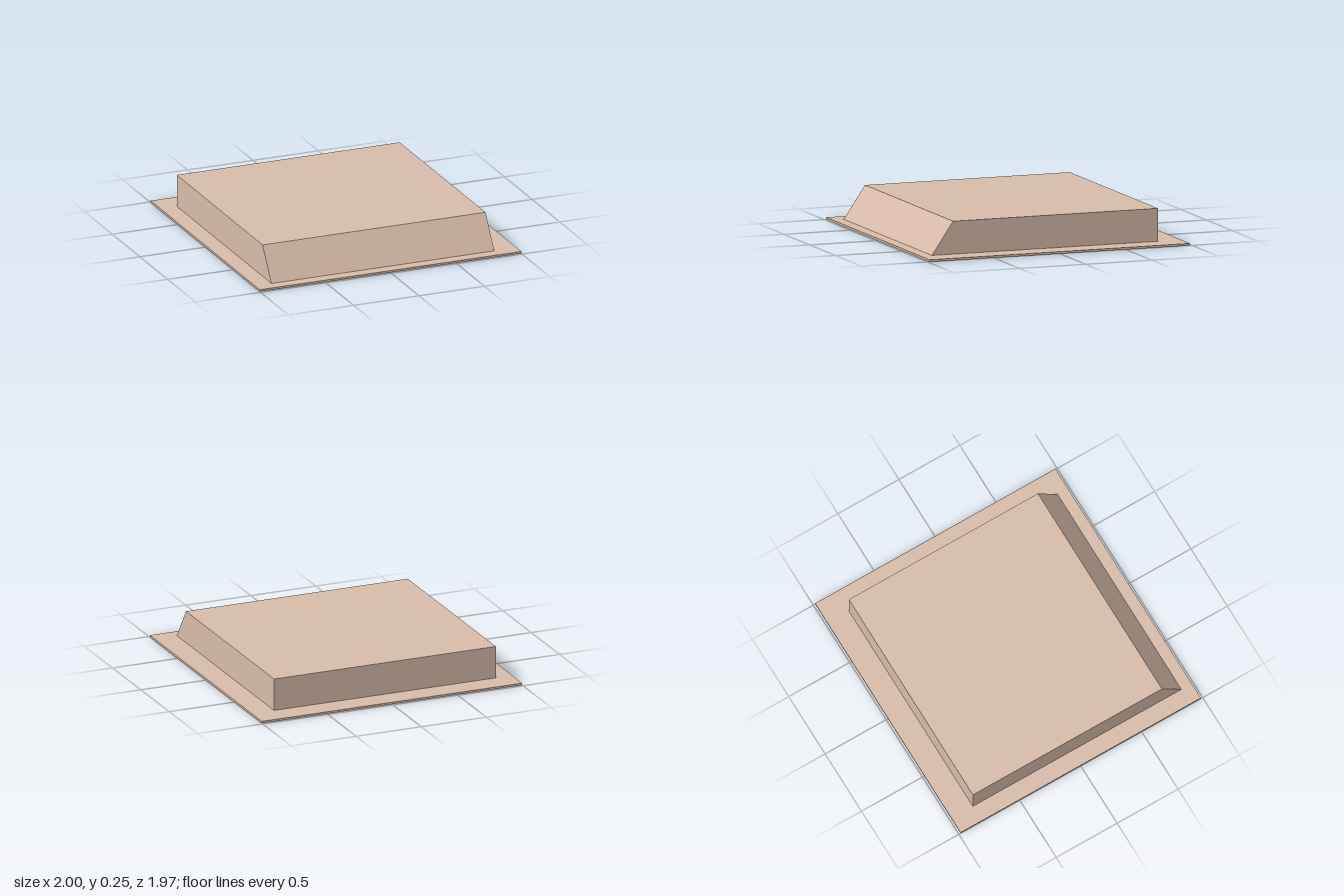
import * as THREE from 'three';

export function createModel() {
  const model = new THREE.Group();
  const clay = new THREE.MeshStandardMaterial({ color: 0xd8bca9 });
  clay.name = 'beige';

  // Thin ground slab
  const slabHeight = 0.015;
  const slab = new THREE.Mesh(new THREE.BoxGeometry(2, slabHeight, 1.97), clay);
  slab.name = 'baseSlab';
  slab.position.y = slabHeight / 2;
  model.add(slab);

  // Raised block with a sloping front, as a side profile (-z, y) extruded along x
  const left = 0.83, right = -0.875;
  const profile = new THREE.Shape([
    [-0.9, slabHeight], [0.81, slabHeight], [0.81, 0.25], [-0.74, 0.25],
  ].map(([s, y]) => new THREE.Vector2(s, y)));
  const blockGeometry = new THREE.ExtrudeGeometry(profile, { depth: left - right, bevelEnabled: false });
  blockGeometry.rotateY(Math.PI / 2);
  const block = new THREE.Mesh(blockGeometry, clay);
  block.name = 'raisedBlock';
  block.position.x = right;
  model.add(block);

  return model;
}
